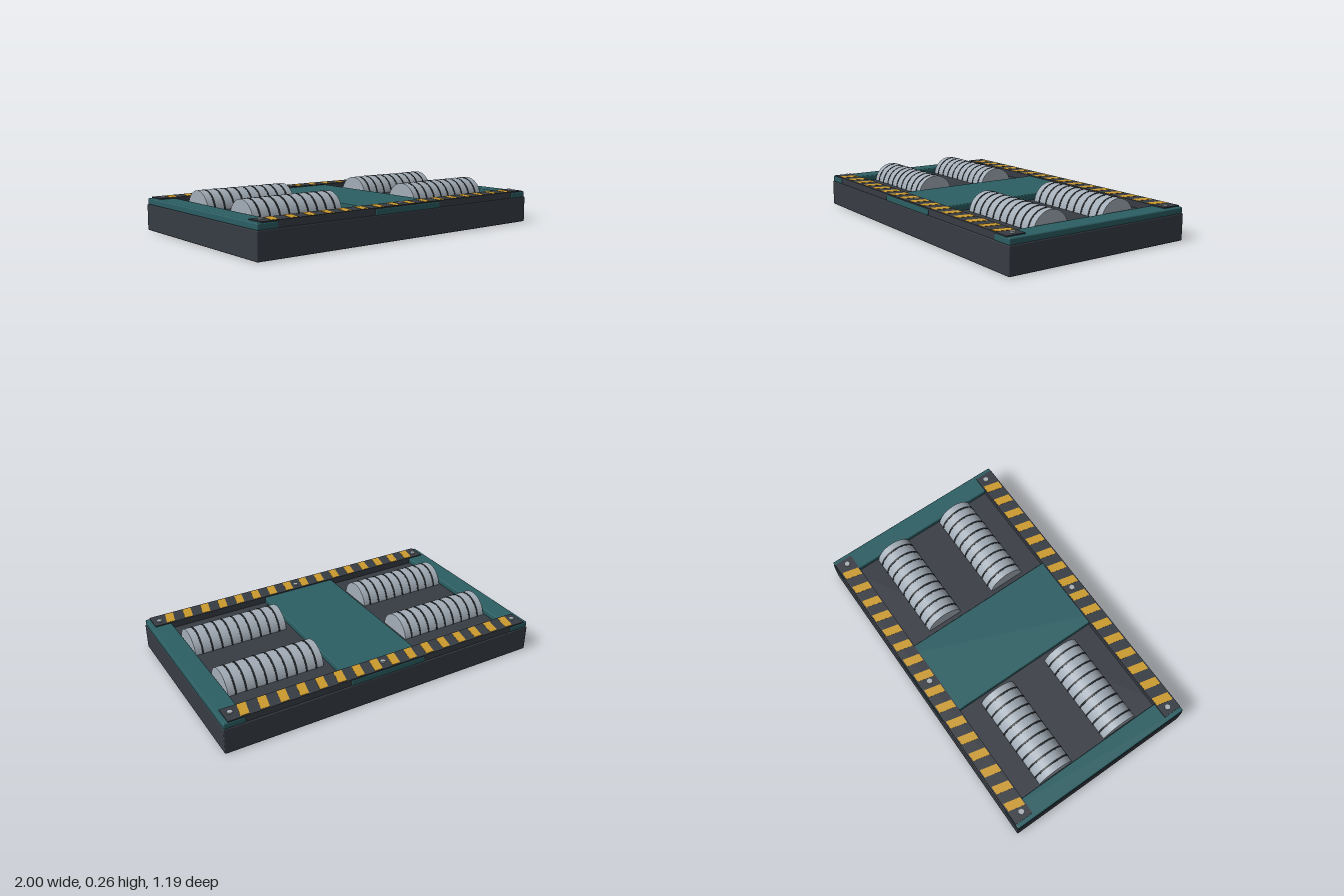
import * as THREE from 'three';
import { RoundedBoxGeometry } from 'three/addons/geometries/RoundedBoxGeometry.js';

export function createModel() {
  const root = new THREE.Group();
  root.name = 'rollerTestBed';
  const mat = (name, color) => {
    const m = new THREE.MeshStandardMaterial({ color });
    m.name = name;
    return m;
  };
  const charcoal = mat('charcoal', 0x373c43);
  const teal = mat('teal', 0x2b5e63);
  const yellow = mat('hazard yellow', 0xcb9a2e);
  const steel = mat('steel', 0xa3adb7);
  const black = mat('groove black', 0x23272b);
  const boltGrey = mat('bolt grey', 0xa9afb5);

  const add = (name, geo, material, x, y, z, parent = root) => {
    const m = new THREE.Mesh(geo, material);
    m.name = name;
    m.position.set(x, y, z);
    parent.add(m);
    return m;
  };
  const slab = (w, h, d, r) => new RoundedBoxGeometry(w, h, d, 2, r);

  // Base block, its top is the floor of the roller pits
  add('base', slab(2, 0.156, 1.19, 0.006), charcoal, 0, 0.078, 0);

  // Deck plates: two sides and the middle
  for (const s of [-1, 1]) add('sidePlate', slab(0.127, 0.038, 1.184, 0.008), teal, s * 0.933, 0.172, 0);
  add('middlePlate', slab(0.485, 0.038, 1.184, 0.006), teal, 0, 0.172, 0);

  // Rollers with dark rings, axes along x
  const rollerGeo = new THREE.CylinderGeometry(0.115, 0.115, 0.583, 48).rotateZ(Math.PI / 2);
  const ringGeo = new THREE.CylinderGeometry(0.1165, 0.1165, 0.011, 48).rotateZ(Math.PI / 2);
  for (const sx of [-1, 1]) {
    for (const sz of [-1, 1]) {
      const roller = new THREE.Group();
      roller.name = 'roller';
      roller.position.set(sx * 0.57, 0.145, sz * 0.23);
      root.add(roller);
      add('rollerDrum', rollerGeo, steel, 0, 0, 0, roller);
      for (let i = -4; i <= 4; i++) add('rollerRing', ringGeo, black, i * 0.0615, 0, 0, roller);
    }
  }

  // Slanted stripe outline, laid flat
  const stripe = new THREE.Shape([
    new THREE.Vector2(-0.037, -0.05), new THREE.Vector2(0.014, -0.05),
    new THREE.Vector2(0.037, 0.05), new THREE.Vector2(-0.014, 0.05),
  ]);
  const stripeGeo = new THREE.ExtrudeGeometry(stripe, { depth: 0.002, bevelEnabled: false }).rotateX(-Math.PI / 2);
  const boltGeo = new THREE.CylinderGeometry(0.017, 0.017, 0.012, 6);

  // Front and back edges: rails, warning strips, stripes and bolts
  for (const s of [-1, 1]) {
    for (const sx of [-1, 1]) {
      add('edgeRail', new THREE.BoxGeometry(0.63, 0.036, 0.112), charcoal, sx * 0.556, 0.172, s * 0.532);
    }
    add('warningStrip', new THREE.BoxGeometry(1.94, 0.007, 0.114), charcoal, 0, 0.1935, s * 0.533);
    for (let i = 0; i < 16; i++) {
      add('warningStripe', stripeGeo, yellow, -0.873 + i * 0.1155, 0.1965, s * 0.532);
    }
    for (const x of [-0.93, 0, 0.93]) add('bolt', boltGeo, boltGrey, x, 0.198, s * 0.524);
  }
  return root;
}
